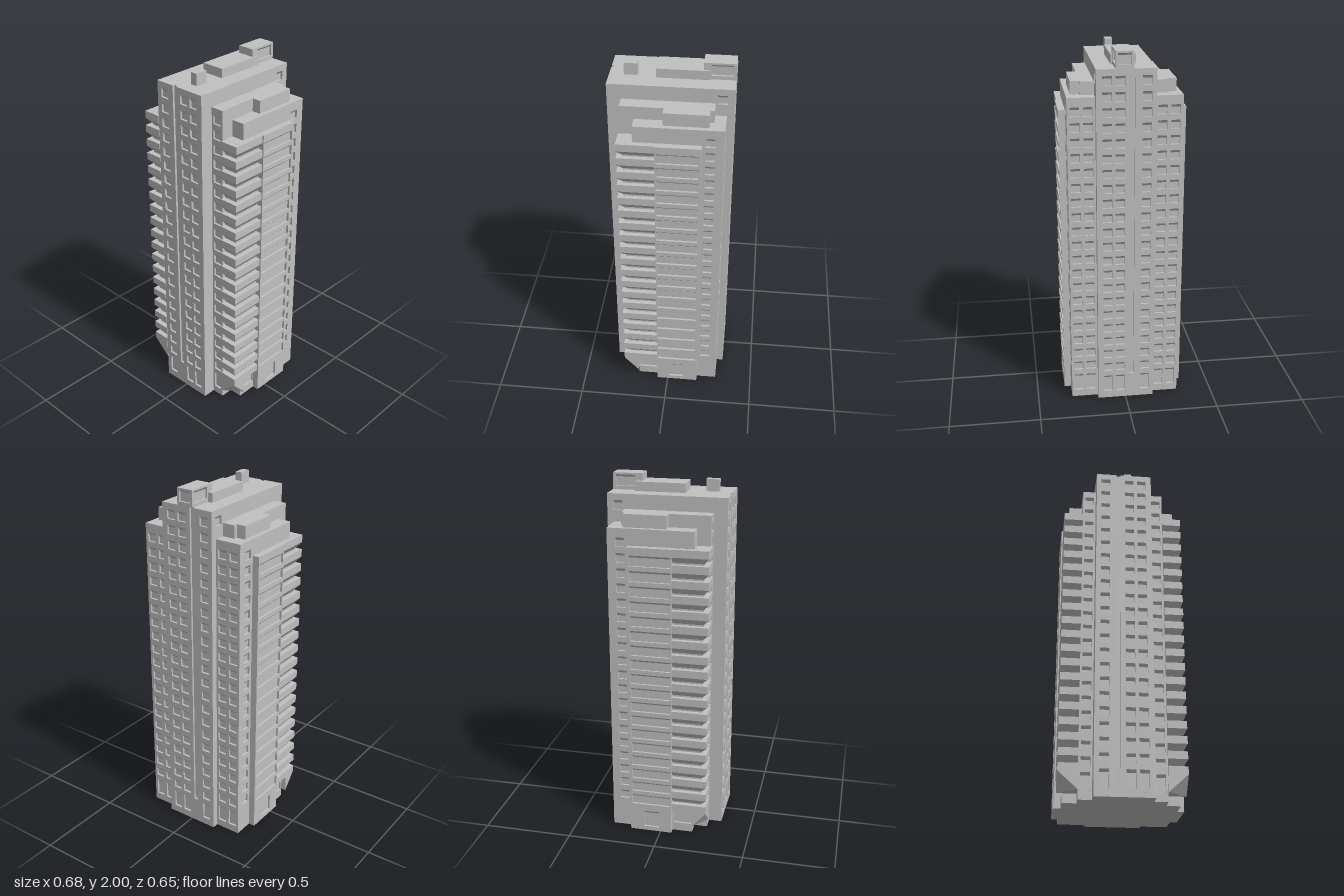
import * as THREE from 'three';
import { mergeGeometries } from 'three/addons/utils/BufferGeometryUtils.js';
import { ConvexGeometry } from 'three/addons/geometries/ConvexGeometry.js';

const D = 0.012;                          // depth of window recesses
const PITCH = 0.0825;                     // storey height
const headY = k => 1.875 - PITCH * k;     // top of the openings on storey k, from the top down

const TURN = { front: 0, back: Math.PI, left: Math.PI / 2, right: -Math.PI / 2 };

function createModel() {
  const model = new THREE.Group();
  model.name = 'towerBlock';
  const concrete = new THREE.MeshStandardMaterial({ color: 0xc0c0c0 });
  concrete.name = 'concrete';

  const add = (name, geometry) => {
    const mesh = new THREE.Mesh(geometry, concrete);
    mesh.name = name;
    model.add(mesh);
    return mesh;
  };

  const boxGeo = (x0, x1, y0, y1, z0, z1) =>
    new THREE.BoxGeometry(Math.abs(x1 - x0), y1 - y0, z1 - z0)
      .translate((x0 + x1) / 2, (y0 + y1) / 2, (z0 + z1) / 2);
  const box = (name, ...b) => add(name, boxGeo(...b));

  // Wall sheet with openings [centre, width, top, height, headDrop]; each gets a sloped head.
  // a0..a1 runs along x for front and back, along z for the sides; face is its distance from the axis.
  function wall(name, side, face, a0, a1, y0, y1, openings) {
    const sign = side === 'front' || side === 'right' ? 1 : -1;
    const u0 = Math.min(a0 * sign, a1 * sign), u1 = Math.max(a0 * sign, a1 * sign);
    const rect = (Type, l, r, b, t) => new Type([
      new THREE.Vector2(l, b), new THREE.Vector2(r, b), new THREE.Vector2(r, t), new THREE.Vector2(l, t)]);
    const sheet = rect(THREE.Shape, u0, u1, y0, y1);
    const heads = [];
    for (const [c, w, top, h, drop] of openings) {
      const u = c * sign;
      sheet.holes.push(rect(THREE.Path, u - w / 2, u + w / 2, top - h, top));
      const wedge = new THREE.Shape([
        new THREE.Vector2(0, top), new THREE.Vector2(0, top - drop), new THREE.Vector2(D, top)]);
      heads.push(new THREE.ExtrudeGeometry(wedge, { depth: w, bevelEnabled: false })
        .rotateY(-Math.PI / 2).translate(u + w / 2, 0, 0));
    }
    const geometry = mergeGeometries([
      new THREE.ExtrudeGeometry(sheet, { depth: D, bevelEnabled: false }), ...heads]);
    geometry.translate(0, 0, face - D).rotateY(TURN[side]);
    add(name, geometry);
  }

  // Columns of small windows; the ground-floor ones are tall
  function columns(centres, first, last) {
    const list = [];
    for (const c of centres)
      for (let k = first; k <= last; k++) list.push([c, 0.05, headY(k), k === 21 ? 0.1 : 0.05, 0.015]);
    return list;
  }

  // Central tower, with a vertical groove in its front and back
  box('towerCore', -0.157 + D, 0.157 - D, 0, 1.91, -0.325 + D, 0.323 - D);
  for (const [side, face, near, far] of [
    ['front', 0.323, [-0.105], [0.032, 0.1]], ['back', 0.325, [-0.108], [0.032, 0.1]]]) {
    wall(side + 'TowerWallA', side, face, -0.157, -0.045, 0, 1.91, columns(near, 0, 21));
    wall(side + 'TowerWallB', side, face, -0.02, 0.157, 0, 1.91, columns(far, 0, 21));
    wall(side + 'GrooveFoot', side, face, -0.045, -0.02, 0, 0.15, []);
  }

  // Both flanks
  for (const [side, s] of [['left', 1], ['right', -1]]) {
    const part = name => side + name;
    wall(part('TowerSide'), side, 0.157, -0.325, 0.323, 0, 1.91, columns([-0.265], 0, 0));

    // Shoulder and its stepped top
    box(part('Shoulder'), s * 0.1, s * 0.23, 0, 1.83, -0.23, 0.25 - D);
    wall(part('ShoulderFront'), 'front', 0.25, s * 0.157, s * 0.23, 0, 1.83, columns([s * 0.193], 1, 21));
    box(part('ShoulderStep'), s * 0.2, s * 0.28, 1.7, 1.83, -0.208, 0.025);

    // Wing with windows to the back and side, and a ground-floor opening
    box(part('Wing'), s * 0.1, s * (0.305 - D), 0, 1.76, -0.288 + D, 0.177);
    wall(part('WingBack'), 'back', 0.288, s * 0.157, s * 0.305, 0, 1.76,
      columns([s * 0.195, s * 0.265], 2, 21));
    wall(part('WingSide'), side, 0.305, -0.288, 0.177, 0, 1.76,
      [...columns([-0.218], 2, 20), [0.12, 0.1, 0.145, 0.095, 0.02]]);

    // Side bay with wide windows and a door
    box(part('Bay'), s * 0.2, s * (0.342 - D), 0, 1.67, -0.175, 0.063);
    const wide = [[-0.052, 0.085, 0.125, 0.1, 0.015]];
    for (let k = 3; k <= 20; k++) wide.push([-0.053, 0.22, headY(k), 0.058, 0.012]);
    wall(part('BayWall'), side, 0.342, -0.175, 0.063, 0, 1.67, wide);

    // Corner balconies: recessed post, parapet bands with sloped soffits
    box(part('BalconyPost'), s * 0.2, s * 0.31, 0.145, 1.67, 0.05, 0.23);
    const bands = [];
    for (let k = 3; k <= 20; k++) {
      const y = headY(k);
      bands.push(boxGeo(s * 0.23, s * 0.335, y, y + 0.042, 0.06, 0.26));
      const soffit = boxGeo(s * 0.23, s * 0.335, y - 0.032, y, 0.06, 0.26);
      const p = soffit.attributes.position;
      for (let i = 0; i < p.count; i++) {
        if (p.getY(i) > y - 0.01) continue;
        if (Math.abs(p.getX(i)) > 0.3) p.setX(i, s * 0.31);
        if (p.getZ(i) > 0.2) p.setZ(i, 0.23);
      }
      soffit.computeVertexNormals();
      bands.push(soffit);
    }
    add(part('Balconies'), mergeGeometries(bands));
    box(part('LowestParapet'), s * 0.23, s * 0.335, 0.145, 0.187, 0.06, 0.26);

    // Bracket under the lowest balcony, its outer corner cut away
    add(part('CornerBracket'), new ConvexGeometry([
      [0.23, 0.145, 0.177], [0.335, 0.145, 0.177], [0.335, 0.145, 0.26], [0.23, 0.145, 0.26],
      [0.23, 0.05, 0.177], [0.335, 0.05, 0.177], [0.23, 0.05, 0.26],
    ].map(([x, y, z]) => new THREE.Vector3(s * x, y, z))));
  }

  // Roof structures
  box('roofPlantRoom', -0.067, 0.067, 1.9, 1.96, -0.195, 0.08);
  box('chimney', 0.01, 0.05, 1.9, 1.975, 0.177, 0.247);
  box('penthouse', -0.038 + D, 0.057 - D, 1.9, 2, -0.325 + D, -0.16);
  wall('penthouseBack', 'back', 0.325, -0.038, 0.057, 1.91, 2, [[0.01, 0.07, 1.99, 0.06, 0.012]]);
  wall('penthouseLeft', 'left', 0.057, -0.325, -0.16, 1.91, 2, [[-0.255, 0.11, 1.99, 0.06, 0.012]]);
  wall('penthouseRight', 'right', 0.038, -0.325, -0.16, 1.91, 2, [[-0.255, 0.11, 1.99, 0.06, 0.012]]);

  return model;
}

export { createModel };
